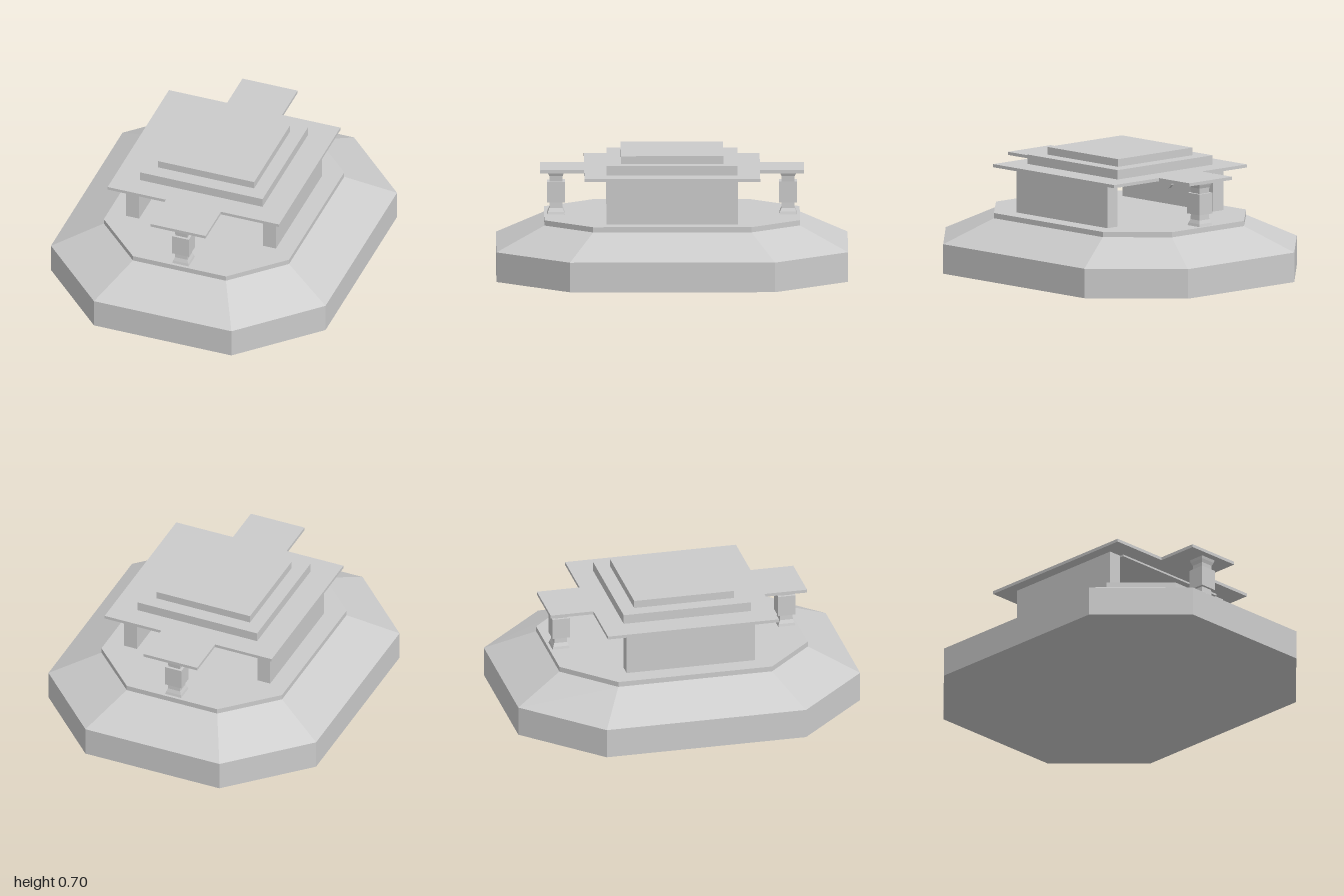
import * as THREE from 'three';
import { ConvexGeometry } from 'three/addons/geometries/ConvexGeometry.js';

const material = new THREE.MeshStandardMaterial({ color: 0xcccccc, flatShading: true });

function add(group, name, geometry, x = 0, y = 0, z = 0) {
  const mesh = new THREE.Mesh(geometry, material);
  mesh.name = name;
  mesh.position.set(x, y, z);
  group.add(mesh);
  return mesh;
}

// Box standing on height y0 and reaching y1
function slab(group, name, w, y0, y1, d, x = 0, z = 0) {
  return add(group, name, new THREE.BoxGeometry(w, y1 - y0, d), x, (y0 + y1) / 2, z);
}

// Octagonal ring: half sizes hx, hz and the corner cut points cx, cz
function octagon(hx, hz, cx, cz, y) {
  return [[hx, cz], [cx, hz], [-cx, hz], [-hx, cz], [-hx, -cz], [-cx, -hz], [cx, -hz], [hx, -cz]]
    .map(([x, z]) => new THREE.Vector3(x, y, z));
}

export function createModel() {
  const model = new THREE.Group();
  model.name = 'pavilion';

  // Octagonal plinth with sloping shoulders, then the floor plate
  const lower = [0.833, 1, 0.417, 0.583];
  const upper = [0.562, 0.727, 0.282, 0.45];
  add(model, 'plinth', new ConvexGeometry([
    ...octagon(...lower, 0), ...octagon(...lower, 0.17), ...octagon(...upper, 0.305),
  ]));
  add(model, 'floorPlate', new ConvexGeometry([
    ...octagon(...upper, 0.305), ...octagon(...upper, 0.335),
  ]));

  // Side walls, each with a round boss on its inner face
  for (const side of [-1, 1]) {
    slab(model, 'sideWall', 0.08, 0.335, 0.588, 0.75, side * 0.415);
    const boss = add(model, 'wallBoss', new THREE.CylinderGeometry(0.052, 0.052, 0.03, 12), side * 0.372, 0.475, 0);
    boss.rotation.z = Math.PI / 2;
  }

  // Square pillars with flared feet and heads around a wider block
  const profile = [
    [0, 0.335], [0.05, 0.335], [0.046, 0.35], [0.038, 0.37], [0.036, 0.403], [0.051, 0.403],
    [0.051, 0.523], [0.036, 0.523], [0.038, 0.554], [0.046, 0.573], [0.05, 0.588], [0, 0.588],
  ].map(([half, y]) => new THREE.Vector2(half * Math.SQRT2, y));
  for (const end of [-1, 1]) {
    const pillar = add(model, 'pillar', new THREE.LatheGeometry(profile, 4), 0, 0, end * 0.66);
    pillar.rotation.y = Math.PI / 4;
  }

  // Ceiling panel and cross-shaped roof with a tab over each pillar
  slab(model, 'ceilingPanel', 0.75, 0.577, 0.588, 0.8);
  const outline = [
    [0.52, -0.5], [0.52, 0.5], [0.167, 0.5], [0.167, 0.75], [-0.167, 0.75], [-0.167, 0.5],
    [-0.52, 0.5], [-0.52, -0.5], [-0.167, -0.5], [-0.167, -0.75], [0.167, -0.75], [0.167, -0.5],
  ].map(([x, z]) => new THREE.Vector2(x, z));
  const roof = new THREE.ExtrudeGeometry(new THREE.Shape(outline), { depth: 0.018, bevelEnabled: false });
  roof.rotateX(-Math.PI / 2);
  add(model, 'roof', roof, 0, 0.588, 0);

  // Stepped tiers on the roof
  slab(model, 'lowerTier', 0.745, 0.606, 0.66, 0.745);
  slab(model, 'upperTier', 0.583, 0.66, 0.704, 0.583);

  return model;
}
